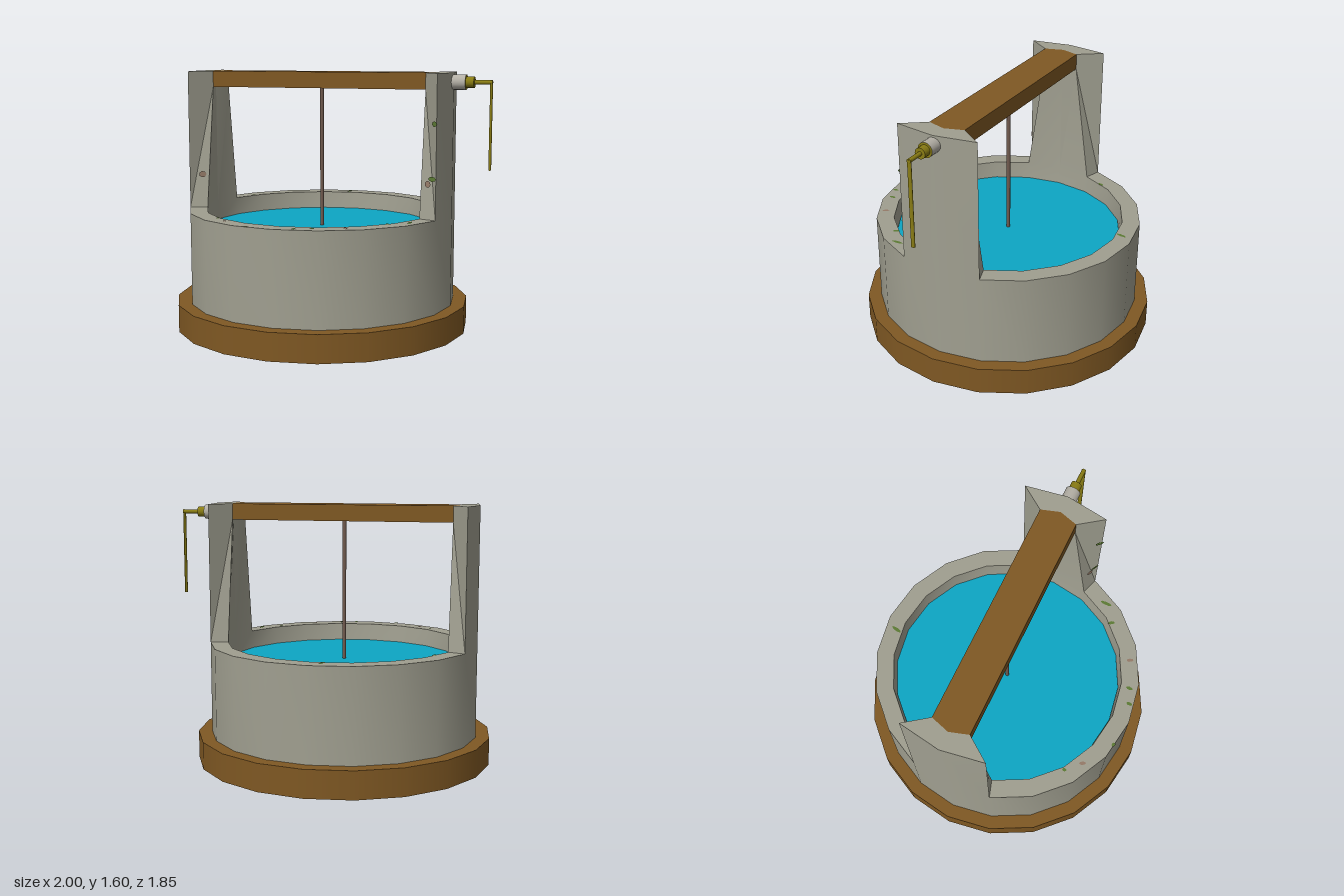
import * as THREE from 'three';
import { toCreasedNormals } from 'three/addons/utils/BufferGeometryUtils.js';

const paint = (name, color, side = THREE.FrontSide) => {
  const m = new THREE.MeshStandardMaterial({ color, side });
  m.name = name;
  return m;
};

export function createModel() {
  const wood = paint('wood', 0x7f5823);
  const stone = paint('stone', 0xa09f90);
  const water = paint('water', 0x0da6c4);
  const brass = paint('brass', 0x897c14);
  const ironRod = paint('rod brown', 0x705a4e);
  const collarGrey = paint('collar grey', 0xb4b0a6);
  const moss = paint('moss', 0x5c7a34, THREE.DoubleSide);
  const clay = paint('clay', 0x957a68, THREE.DoubleSide);

  const model = new THREE.Group();
  model.name = 'well';
  const well = new THREE.Group();
  well.name = 'wellBody';
  well.position.x = -0.075;
  model.add(well);
  const add = (name, geo, mat, x = 0, y = 0, z = 0) => {
    const m = new THREE.Mesh(geo, mat);
    m.name = name;
    m.position.set(x, y, z);
    well.add(m);
    return m;
  };

  // Wooden footing with a darker underside
  const N = 20, BASE = 0.17, RIM = 0.74, BEAM = 1.5, TOP = 1.6, WATER = 0.63;
  add('footing', new THREE.CylinderGeometry(0.925, 0.925, BASE, N), [wood, wood, brass], 0, BASE / 2);

  // Stone ring with two raised posts, built segment by segment
  const R = 0.84, r = 0.73, POST_Z = 0.115;
  const at = (rad, i, y) => {
    const a = (i / N) * Math.PI * 2;
    return [rad * Math.cos(a), y, rad * Math.sin(a)];
  };
  const outer = (i, y) => at(R, i, y);
  const inner = (i, y) => {
    const p = at(y < RIM ? 0.718 : r, i, y);
    if (y >= BEAM && i % 10 !== 0) p[2] = Math.sign(p[2]) * POST_Z;
    return p;
  };
  const pos = [];
  const quad = (a, b, c, d) => pos.push(...a, ...b, ...c, ...a, ...c, ...d);
  const innerWall = (i, lo, hi) => quad(inner(i, lo), inner(i + 1, lo), inner(i + 1, hi), inner(i, hi));
  for (let i = 0; i < N; i++) {
    const k = i % 10;
    const isPost = k === 0 || k === 9;
    const h = isPost ? TOP : RIM;
    quad(outer(i, BASE), outer(i, RIM), outer(i + 1, RIM), outer(i + 1, BASE));
    quad(outer(i, h), inner(i, h), inner(i + 1, h), outer(i + 1, h));
    innerWall(i, WATER - 0.03, RIM);
    if (!isPost) continue;
    quad(outer(i, RIM), outer(i, TOP), outer(i + 1, TOP), outer(i + 1, RIM));
    for (const [lo, hi] of [[RIM, BEAM], [BEAM, TOP]]) {
      innerWall(i, lo, hi);
      if (k === 0) quad(outer(i + 1, lo), outer(i + 1, hi), inner(i + 1, hi), inner(i + 1, lo));
      else quad(outer(i, lo), inner(i, lo), inner(i, hi), outer(i, hi));
    }
  }
  const ring = new THREE.BufferGeometry();
  ring.setAttribute('position', new THREE.Float32BufferAttribute(pos, 3));
  add('stoneWall', toCreasedNormals(ring, 0.4), stone);

  // Water surface
  add('water', new THREE.CylinderGeometry(0.718, 0.718, 0.02, N), water, 0, WATER - 0.01);

  // Crossbeam with pointed ends that meet the posts
  const bx = r * Math.cos(Math.PI / 10);
  const outline = new THREE.Shape([
    [-bx, -POST_Z], [bx, -POST_Z], [r, 0], [bx, POST_Z], [-bx, POST_Z], [-r, 0],
  ].map(([x, y]) => new THREE.Vector2(x, y)));
  const beam = new THREE.ExtrudeGeometry(outline, { depth: TOP - BEAM, bevelEnabled: false });
  beam.rotateX(-Math.PI / 2);
  add('crossbeam', beam, wood, 0, BEAM);

  // Hanging rod
  add('hangingRod', new THREE.CylinderGeometry(0.012, 0.012, BEAM - WATER, 12), ironRod, 0, (BEAM + WATER) / 2);

  // Crank: collar, hub, axle and handle
  const axial = (name, rad, x0, x1, mat) => {
    const g = new THREE.CylinderGeometry(rad, rad, x1 - x0, 20);
    g.rotateZ(-Math.PI / 2);
    add(name, g, mat, (x0 + x1) / 2, 1.543);
  };
  axial('crankCollar', 0.046, 0.82, 0.916, [collarGrey, brass, brass]);
  axial('crankHub', 0.033, 0.916, 0.965, brass);
  axial('crankAxle', 0.013, 0.965, 1.073, brass);
  const handle = add('crankHandle', new THREE.CylinderGeometry(0.013, 0.013, 0.53, 12), brass, 1.066, 1.284);
  handle.scale.x = 0.65;

  // Small moss and clay patches on the rim: x, z, length, turn
  const patch = (name, mat, len, wid) => {
    const g = new THREE.CircleGeometry(1, 7);
    g.scale(wid, len, 1);
    return add(name, g, mat);
  };
  const rimPatches = [
    [moss, 0.57, 0.475, 0.022, 0.5], [moss, 0.68, 0.39, 0.04, 0], [moss, 0.21, 0.755, 0.022, 0],
    [moss, 0.115, 0.795, 0.02, 0], [moss, -0.17, 0.81, 0.014, 1.2], [moss, -0.445, 0.6, 0.014, 0],
    [moss, -0.065, -0.76, 0.035, -0.2], [moss, -0.633, -0.357, 0.022, -0.4],
    [clay, 0.385, 0.685, 0.022, 0.5], [clay, -0.36, 0.685, 0.022, 0.5],
  ];
  for (const [mat, x, z, len, turn] of rimPatches) {
    const m = patch('rimPatch', mat, len, 0.011);
    m.position.set(x, RIM + 0.003, z);
    m.rotation.set(-Math.PI / 2, 0, turn);
  }

  // Patches on the front sides of the posts: x, y, width, height
  const cx = R * Math.cos(Math.PI / 10), cz = R * Math.sin(Math.PI / 10);
  const rimZ = r * Math.sin(Math.PI / 10);
  for (const [mat, x, y, w, h] of [
    [moss, 0.787, 1.307, 0.018, 0.017], [moss, 0.776, 0.983, 0.026, 0.015],
    [clay, 0.745, 0.95, 0.02, 0.02], [clay, -0.73, 0.95, 0.02, 0.02],
  ]) {
    const iz = rimZ + (POST_Z - rimZ) * (y - RIM) / (BEAM - RIM);
    const t = (cx - Math.abs(x)) / (cx - bx);
    const slope = (cz - iz) / (cx - bx);
    const rise = t * (rimZ - POST_Z) / (BEAM - RIM);
    const n = new THREE.Vector3(-Math.sign(x) * slope, rise, 1).normalize();
    const m = patch('postPatch', mat, h, w * Math.hypot(1, slope));
    m.position.set(x, y, cz + (iz - cz) * t).addScaledVector(n, 0.005);
    m.lookAt(m.position.clone().add(n));
  }
  return model;
}
